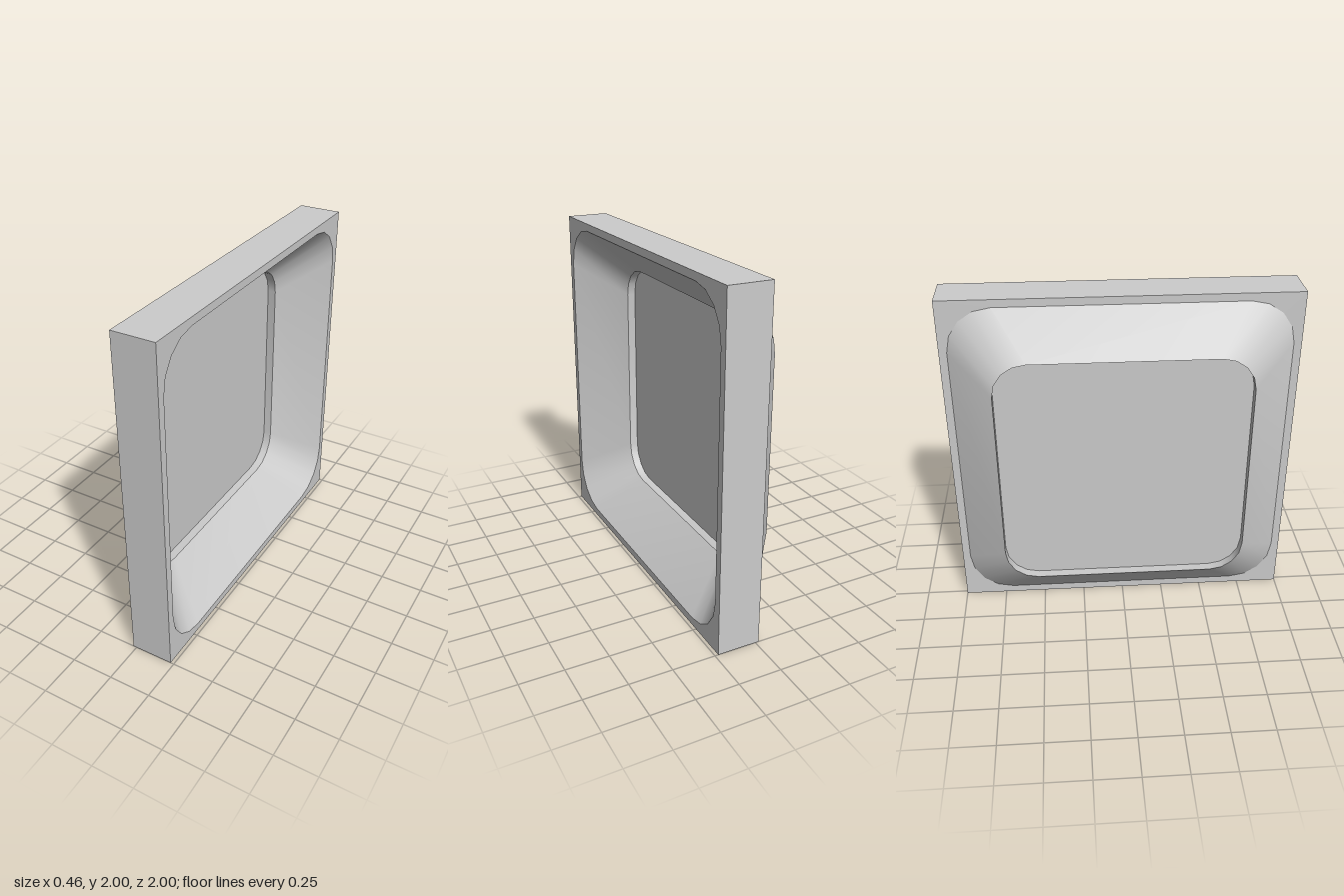
import * as THREE from 'three';
import { toCreasedNormals } from 'three/addons/utils/BufferGeometryUtils.js';

const material = new THREE.MeshStandardMaterial({ color: 0xcccccc });
const OUTER = 0.955, INNER = 0.715;   // half sizes of the rim and the opening

// Rounded square, counterclockwise; the corner radius scales with its size
function roundedSquare(half) {
  const r = half * 0.267, c = half - r, points = [];
  for (let corner = 0; corner < 4; corner++) {
    const mid = Math.PI / 4 + corner * Math.PI / 2;
    const cx = c * Math.sign(Math.cos(mid)), cy = c * Math.sign(Math.sin(mid));
    for (let i = 0; i <= 4; i++) {
      const a = (corner + i / 4) * Math.PI / 2;
      points.push(new THREE.Vector2(cx + r * Math.cos(a), cy + r * Math.sin(a)));
    }
  }
  return points;
}

// Extrude a shape between two x positions
function slab(shape, x0, x1) {
  const geometry = new THREE.ExtrudeGeometry(shape, { depth: x1 - x0, bevelEnabled: false });
  return geometry.translate(0, 0, x0).rotateY(Math.PI / 2).translate(0, 1, 0);
}

// Skin rounded-square rings given as [x, half size]
function loft(profile) {
  const rings = profile.map(([x, half]) => roundedSquare(half).map(p => [p.x, p.y, x]));
  const n = rings[0].length, index = [];
  for (let i = 0; i < rings.length - 1; i++) {
    for (let j = 0; j < n; j++) {
      const k = (j + 1) % n;
      const a = i * n + j, b = i * n + k, c = b + n, d = a + n;
      index.push(a, b, c, a, c, d);
    }
  }
  const geometry = new THREE.BufferGeometry();
  geometry.setAttribute('position', new THREE.Float32BufferAttribute(rings.flat(2), 3));
  geometry.setIndex(index);
  geometry.rotateY(Math.PI / 2).translate(0, 1, 0);
  return toCreasedNormals(geometry, 0.6);
}

export function createModel() {
  const group = new THREE.Group();
  group.name = 'recessedWindow';
  const add = (name, geometry) => {
    const mesh = new THREE.Mesh(geometry, material);
    mesh.name = name;
    group.add(mesh);
  };

  // Square frame with a rounded opening
  const square = new THREE.Shape([[-1, -1], [1, -1], [1, 1], [-1, 1]].map(p => new THREE.Vector2(...p)));
  square.holes.push(new THREE.Path(roundedSquare(OUTER).reverse()));
  add('frame', slab(square, -0.02, 0.23));

  // Sloping funnel: inner slope, straight lip, outer slope
  add('funnel', loft([[0.23, OUTER], [-0.04, INNER], [-0.23, INNER], [-0.02, OUTER]]));

  // Pane set inside the lip
  add('pane', slab(new THREE.Shape(roundedSquare(INNER)), -0.175, -0.09));

  return group;
}
